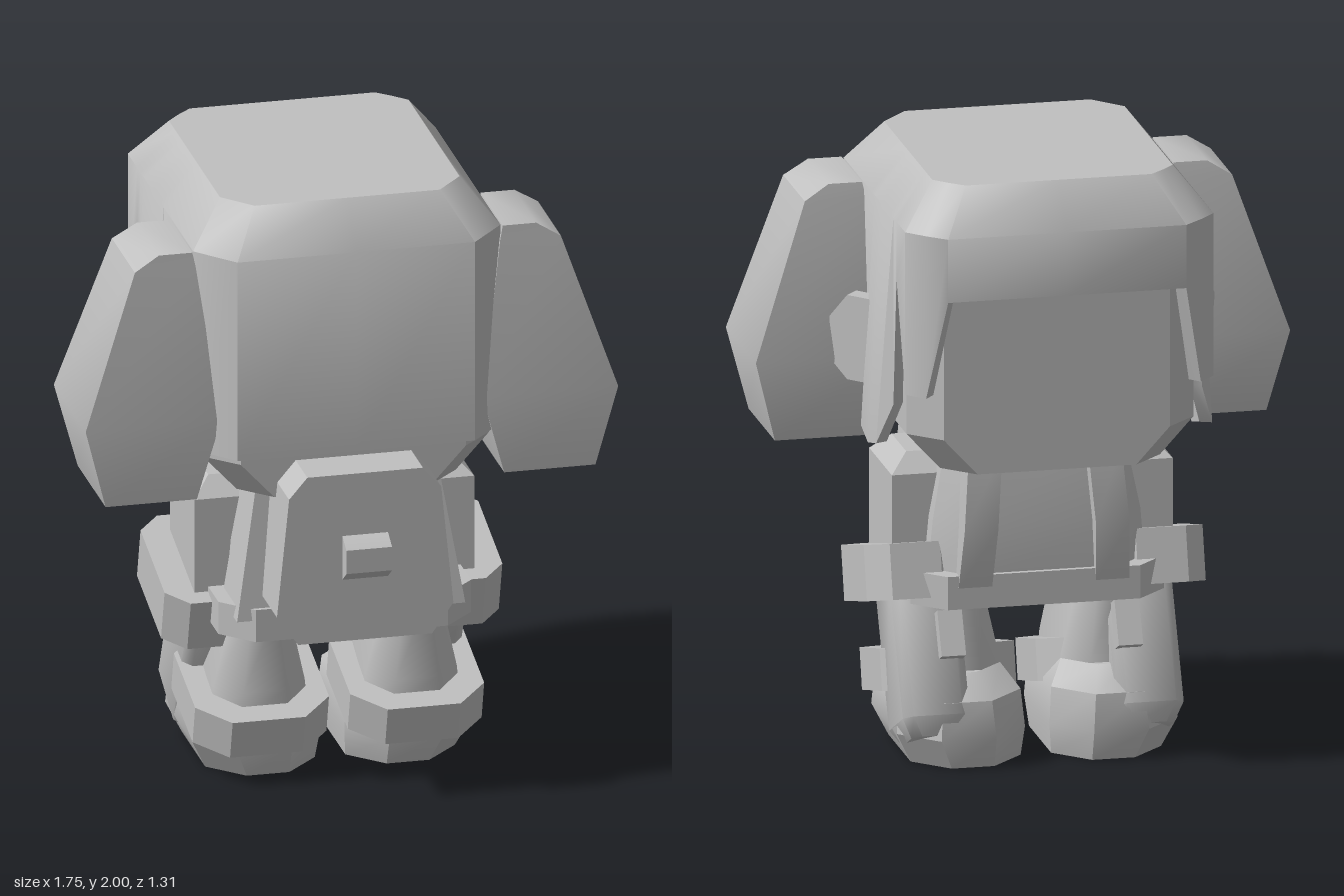
import * as THREE from 'three';
import { toCreasedNormals } from 'three/addons/utils/BufferGeometryUtils.js';

const grey = new THREE.MeshStandardMaterial({ color: 0xc0c0c0, side: THREE.DoubleSide });
grey.name = 'plain grey';

// Cross-section at height y: a rectangle in x and z, with corners cut by c
function ring(y, x0, x1, z0, z1, c = 0) {
  const p = c === 0
    ? [[x1, z1], [x1, z0], [x0, z0], [x0, z1]]
    : [[x1 - c, z1], [x1, z1 - c], [x1, z0 + c], [x1 - c, z0],
       [x0 + c, z0], [x0, z0 + c], [x0, z1 - c], [x0 + c, z1]];
  return p.map(([x, z]) => [x, y, z]);
}

// Skin a stack of cross-sections and cap both ends
function loft(rings, crease = 0.5) {
  const n = rings[0].length, index = [];
  for (let r = 0; r < rings.length - 1; r++) {
    for (let i = 0; i < n; i++) {
      const a = r * n + i, b = r * n + (i + 1) % n;
      index.push(a, b, b + n, a, b + n, a + n);
    }
  }
  const top = (rings.length - 1) * n;
  for (let i = 1; i < n - 1; i++) {
    index.push(0, i + 1, i, top, top + i, top + i + 1);
  }
  const geo = new THREE.BufferGeometry();
  geo.setAttribute('position', new THREE.Float32BufferAttribute(rings.flat(2), 3));
  geo.setIndex(index);
  return toCreasedNormals(geo, crease);
}

const mirrored = (rings) => rings.map((r) => r.map(([x, y, z]) => [-x, y, z]).reverse());

export function createModel() {
  const model = new THREE.Group();

  function add(name, rings, { crease, tilt = 0, y = 0, z = 0 } = {}) {
    const mesh = new THREE.Mesh(loft(rings, crease), grey);
    mesh.name = name;
    mesh.rotation.x = tilt;
    mesh.position.set(0, y, z);
    model.add(mesh);
  }
  function pair(name, rings, options) {
    add('left' + name, rings, options);
    add('right' + name, mirrored(rings), options);
  }

  // Head with a flat face
  add('head', [
    ring(1.03, -0.36, 0.36, -0.505, 0.44, 0.1),
    ring(1.15, -0.47, 0.47, -0.505, 0.44, 0.1),
    ring(1.88, -0.47, 0.47, -0.505, 0.44, 0.1),
  ]);

  // Hair shell: x, z and lower edge along one half, with sidelock and fringe
  const half = [
    [0, 0.48, 1.18], [0.39, 0.48, 1.18], [0.505, 0.35, 1.18], [0.505, -0.05, 1.18],
    [0.505, -0.1, 1.1], [0.505, -0.2, 1.07], [0.505, -0.32, 1.1], [0.505, -0.37, 1.24],
    [0.505, -0.415, 1.67], [0.505, -0.54, 1.32], [0.45, -0.6, 1.32], [0.39, -0.655, 1.65],
    [0, -0.655, 1.65],
  ];
  const edge = [...half, ...half.slice(1, -1).reverse().map(([x, z, y]) => [-x, z, y])];
  const midZ = -0.0875;
  const hairRing = (k, height) => edge.map(([x, z, y]) => {
    const flare = height === undefined && y < 1.15 ? 1.09 : 1;
    return [x * k * flare, height ?? y, midZ + (z - midZ) * k];
  });
  add('hair', [
    hairRing(0.93, 1.85), hairRing(0.93), hairRing(1), hairRing(1, 1.86), hairRing(0.78, 2),
  ], { crease: 0.75 });

  // Slanted ears at the sides of the head
  const earRing = (y, t) => {
    const x = 0.5 + 0.13 * t, z = -0.145 + 0.145 * t;
    return [[x, y, z], [0.5, y, -0.145], [0.46, y, -0.1], [x - 0.04, y, z + 0.045]];
  };
  pair('Ear', [earRing(1.24, 0.65), earRing(1.3, 1), earRing(1.44, 1), earRing(1.52, 0.65)]);

  // Large hanging ears
  pair('FloppyEar', [
    ring(1.03, 0.505, 0.805, 0.02, 0.4),
    ring(1.3, 0.43, 0.875, -0.015, 0.42),
    ring(1.81, 0.5, 0.7, 0.05, 0.365),
    ring(1.86, 0.51, 0.62, 0.06, 0.36),
  ], { crease: 0.6 });

  // Torso, belt and straps
  add('torso', [
    ring(0.58, -0.36, 0.36, -0.3, 0.37, 0.1),
    ring(0.8, -0.34, 0.34, -0.31, 0.34, 0.1),
    ring(1.06, -0.29, 0.29, -0.28, 0.31, 0.1),
  ]);
  add('belt', [
    ring(0.53, -0.415, 0.415, -0.32, 0.42, 0.1),
    ring(0.64, -0.415, 0.415, -0.32, 0.42, 0.1),
  ]);
  pair('ChestStrap', [
    ring(0.6, 0.17, 0.28, -0.32, -0.2),
    ring(0.8, 0.16, 0.27, -0.365, -0.2),
    ring(1.05, 0.14, 0.25, -0.335, -0.2),
  ]);
  pair('BackStrap', [
    ring(0.6, 0.27, 0.375, 0.2, 0.41),
    ring(1.05, 0.2, 0.3, 0.2, 0.36),
  ]);

  // Backpack with its clasp
  add('backpack', [
    ring(0.58, -0.22, 0.22, 0.3, 0.6),
    ring(0.68, -0.29, 0.29, 0.3, 0.6),
    ring(1.08, -0.25, 0.25, 0.3, 0.6),
    ring(1.15, -0.19, 0.19, 0.3, 0.6),
  ]);
  add('clasp', [
    ring(0.79, -0.075, 0.075, 0.59, 0.6),
    ring(0.83, -0.075, 0.075, 0.59, 0.655),
    ring(0.91, -0.075, 0.075, 0.59, 0.655),
    ring(0.94, -0.075, 0.075, 0.59, 0.6),
  ]);

  // Arms: sleeve, tilted cuff, hand and thumb
  pair('Sleeve', [
    ring(0.58, 0.27, 0.46, -0.15, 0.18),
    ring(0.94, 0.27, 0.46, -0.15, 0.18),
    ring(1.0, 0.27, 0.4, -0.09, 0.12),
  ]);
  pair('SleeveCuff', [
    ring(-0.09, 0.25, 0.555, -0.24, 0.24, 0.07),
    ring(0.09, 0.25, 0.555, -0.24, 0.24, 0.07),
  ], { tilt: 0.27, y: 0.585, z: -0.02 });
  pair('Hand', [
    ring(-0.54, 0.27, 0.43, -0.1, 0.1, 0.03),
    ring(-0.48, 0.24, 0.46, -0.14, 0.14, 0.03),
    ring(0, 0.24, 0.46, -0.14, 0.14, 0.03),
  ], { crease: 0.9, tilt: 0.45, y: 0.56 });
  pair('Thumb', [
    ring(-0.3, 0.25, 0.33, -0.185, -0.1),
    ring(-0.15, 0.25, 0.33, -0.185, -0.1),
  ], { tilt: 0.45, y: 0.56 });

  // Legs: trousers, boots and tilted boot cuffs
  pair('TrouserLeg', [
    ring(0.2, 0.09, 0.41, -0.2, 0.27, 0.08),
    ring(0.3, 0.1, 0.4, -0.2, 0.27, 0.08),
    ring(0.56, 0.16, 0.34, -0.17, 0.26, 0.05),
  ], { crease: 0.9 });
  pair('Boot', [
    ring(0, 0.05, 0.41, -0.31, 0.23, 0.11),
    ring(0.1, 0.04, 0.46, -0.34, 0.27, 0.12),
    ring(0.22, 0.05, 0.45, -0.32, 0.26, 0.12),
    ring(0.29, 0.1, 0.4, -0.22, 0.2, 0.1),
  ], { crease: 0.6 });
  pair('BootCuff', [
    ring(-0.068, 0.035, 0.475, -0.25, 0.25, 0.1),
    ring(0.068, 0.035, 0.475, -0.25, 0.25, 0.1),
  ], { tilt: 0.26, y: 0.23, z: 0.09 });

  return model;
}
